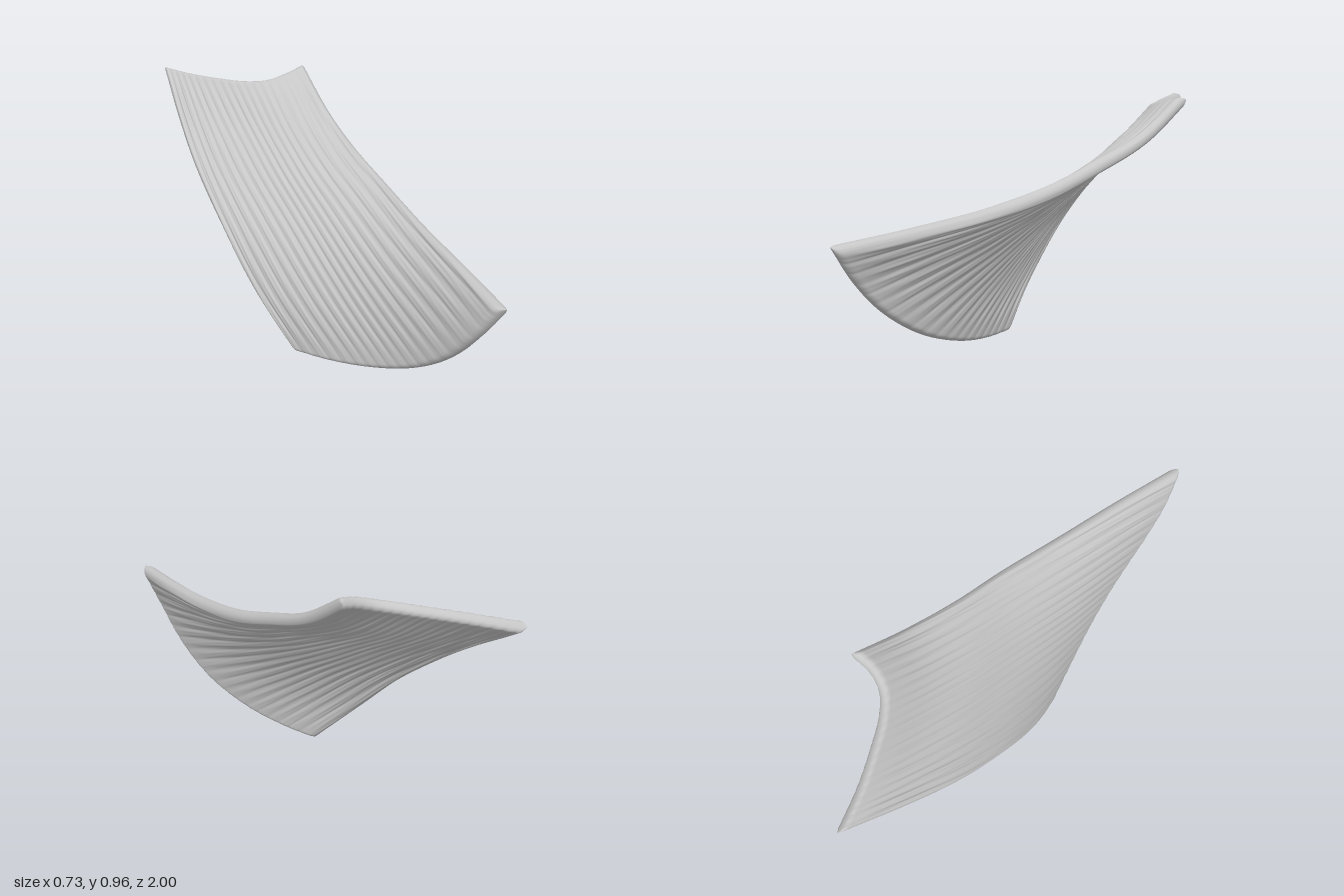
import * as THREE from 'three';
import { mergeVertices } from 'three/addons/utils/BufferGeometryUtils.js';

const curve = (pts) => new THREE.CatmullRomCurve3(pts.map((p) => new THREE.Vector3(...p)));

// The four border curves of the twisted sheet
const upperEdge = curve([[-0.35, 0.565, 1], [-0.2, 0.585, 0.75], [-0.05, 0.612, 0.48], [0.085, 0.662, 0.22],
  [0.178, 0.727, 0], [0.28, 0.815, -0.22], [0.367, 0.955, -0.425]]);
const lowerEdge = curve([[-0.24, 0, 0.02], [-0.238, 0.22, -0.2], [-0.2, 0.425, -0.4], [-0.13, 0.6, -0.6],
  [-0.02, 0.757, -0.8], [0.112, 0.9, -1]]);
const frontEnd = curve([[-0.35, 0.565, 1], [-0.342, 0.42, 0.9], [-0.317, 0.3, 0.8], [-0.287, 0.2, 0.68],
  [-0.263, 0.125, 0.55], [-0.246, 0.058, 0.37], [-0.241, 0.02, 0.2], [-0.24, 0, 0.02]]);
const backEnd = curve([[0.367, 0.955, -0.425], [0.285, 0.935, -0.445], [0.22, 0.913, -0.49], [0.177, 0.902, -0.57],
  [0.145, 0.898, -0.7], [0.122, 0.897, -0.84], [0.112, 0.9, -1]]);
const [A, B, C, D] = [frontEnd.getPoint(0), frontEnd.getPoint(1), backEnd.getPoint(0), backEnd.getPoint(1)];

// Mid-surface blended from the borders: u runs front to back, v upper to lower edge
function sheet(u, v) {
  u = THREE.MathUtils.clamp(u, 0, 1);
  v = THREE.MathUtils.clamp(v, 0, 1);
  return new THREE.Vector3()
    .addScaledVector(upperEdge.getPointAt(u), 1 - v)
    .addScaledVector(lowerEdge.getPointAt(u), v)
    .addScaledVector(frontEnd.getPointAt(v), 1 - u)
    .addScaledVector(backEnd.getPointAt(v), u)
    .addScaledVector(A, -(1 - u) * (1 - v))
    .addScaledVector(B, -(1 - u) * v)
    .addScaledVector(C, -u * (1 - v))
    .addScaledVector(D, -u * v);
}

// Half thickness: rounded rim, lengthwise ridges and fine grain
function halfThickness(u, v, side) {
  const full = 0.029 - 0.006 * u - 0.003 * v * (1 - u);
  const rim = (d) => Math.sqrt(1 - (1 - Math.min(d / full, 1)) ** 2);
  const ends = rim(Math.min(u, 1 - u) * 1.5);
  const edges = rim(Math.min(v, 1 - v) * (1.15 - 0.4 * u));
  const fade = 0.35 + 0.65 * THREE.MathUtils.smoothstep(Math.min(u, 1 - u), 0.01, 0.12);
  const warp = 0.8 * Math.sin(9 * v + 3 * u + side);
  const ridge = 0.0055 * (Math.abs(Math.sin(Math.PI * 19 * v + warp)) - 0.7);
  const grain = 0.001 * Math.sin(290 * v + 5 * u + side) * Math.sin(14 * u + 23 * v);
  return (full + (ridge + grain) * fade) * ends * edges;
}

// Grid steps gathered toward both borders so the rim is smooth
const spread = (t) => t - 0.9 * Math.sin(2 * Math.PI * t) / (2 * Math.PI);

function buildSheet(nu, nv) {
  const positions = [];
  const index = [];
  const e = 0.002;
  for (const side of [1, -1]) {
    const base = positions.length / 3;
    for (let i = 0; i <= nu; i++) {
      for (let j = 0; j <= nv; j++) {
        const u = spread(i / nu), v = spread(j / nv);
        const du = sheet(u + e, v).sub(sheet(u - e, v));
        const dv = sheet(u, v + e).sub(sheet(u, v - e));
        const normal = du.cross(dv).normalize();
        const p = sheet(u, v).addScaledVector(normal, side * halfThickness(u, v, side));
        positions.push(p.x, Math.max(p.y, 0), p.z);
        if (i === nu || j === nv) continue;
        const a = base + i * (nv + 1) + j, b = a + nv + 1;
        if (side > 0) index.push(a, b, a + 1, b, b + 1, a + 1);
        else index.push(a, a + 1, b, b, a + 1, b + 1);
      }
    }
  }
  const geometry = new THREE.BufferGeometry();
  geometry.setAttribute('position', new THREE.Float32BufferAttribute(positions, 3));
  geometry.setIndex(index);
  const merged = mergeVertices(geometry, 1e-5);
  merged.computeVertexNormals();
  return merged;
}

export function createModel() {
  const group = new THREE.Group();
  group.name = 'twistedRibbedSheet';
  const grey = new THREE.MeshStandardMaterial({ color: 0xc6c6c6 });
  grey.name = 'light stone grey';
  const mesh = new THREE.Mesh(buildSheet(64, 260), grey);
  mesh.name = 'ribbedSheet';
  group.add(mesh);
  return group;
}
